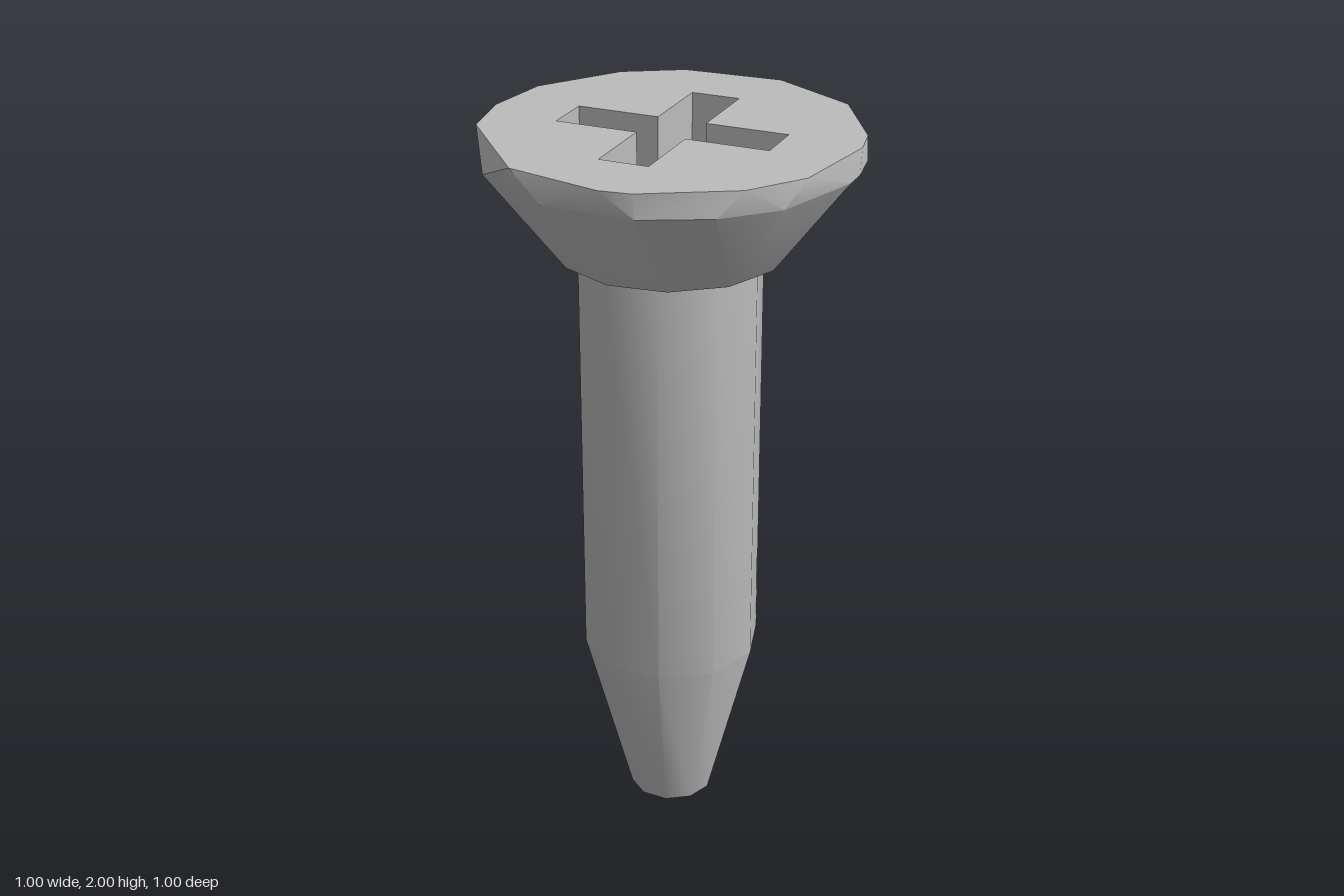
import * as THREE from 'three';
import { mergeGeometries, toCreasedNormals } from 'three/addons/utils/BufferGeometryUtils.js';

const angle = ([x, z]) => Math.atan2(z, x);
const byAngle = (pts) => [...pts].sort((a, b) => angle(a) - angle(b));

// Regular ring of [x, z] points
function circle(radius, sides, turn = 0) {
  return byAngle(Array.from({ length: sides }, (_, i) => {
    const a = turn + (i / sides) * Math.PI * 2;
    return [Math.cos(a) * radius, Math.sin(a) * radius];
  }));
}

// Joins two rings, possibly with different point counts, by walking round in angle
function loft(upper, yUpper, lower, yLower) {
  const n = upper.length, m = lower.length, pos = [];
  const at = (ring, i) => angle(ring[i % ring.length]) + (i >= ring.length ? Math.PI * 2 : 0);
  const put = (ring, i, y) => pos.push(ring[i % ring.length][0], y, ring[i % ring.length][1]);
  let i = 0, j = 0;
  while (i < n || j < m) {
    put(upper, i, yUpper);
    if (j >= m || (i < n && at(upper, i + 1) <= at(lower, j + 1))) {
      put(upper, ++i, yUpper);
      put(lower, j, yLower);
    } else {
      put(lower, j + 1, yLower);
      put(lower, j++, yLower);
    }
  }
  const g = new THREE.BufferGeometry();
  g.setAttribute('position', new THREE.Float32BufferAttribute(pos, 3));
  g.computeVertexNormals();
  return g;
}

// Flat face at height y, facing up or down, with an optional hole
function cap(ring, y, up, hole) {
  const flat = (pts) => pts.map(([x, z]) => new THREE.Vector2(x, up ? -z : z));
  const shape = new THREE.Shape(flat(ring));
  if (hole) shape.holes.push(new THREE.Path(flat(hole)));
  const g = new THREE.ShapeGeometry(shape).toNonIndexed();
  g.deleteAttribute('uv');
  return g.rotateX(up ? -Math.PI / 2 : Math.PI / 2).translate(0, y, 0);
}

export function createModel() {
  const steel = new THREE.MeshStandardMaterial({ color: 0xbcbcbc });
  steel.name = 'steel';
  const model = new THREE.Group();
  model.name = 'screw';
  const add = (name, parts, crease) => {
    const mesh = new THREE.Mesh(toCreasedNormals(mergeGeometries(parts), crease), steel);
    mesh.name = name;
    model.add(mesh);
  };

  // Shank tapering to a blunt tip
  const shank = circle(0.247, 10, 0.73), tip = circle(0.117, 10, 0.73);
  add('shank', [loft(shank, 1.68, shank, 0.5), loft(shank, 0.5, tip, 0), cap(tip, 0, false)], 0.65);

  // Worn, uneven rim of the head
  const rim = byAngle([
    [-0.14, -0.485], [0.135, -0.485], [0.365, -0.345], [0.485, -0.115], [0.498, -0.02],
    [0.438, 0.24], [0.325, 0.375], [0.085, 0.49], [0, 0.497], [-0.26, 0.425],
    [-0.477, 0.15], [-0.498, -0.02], [-0.46, -0.205], [-0.3, -0.405],
  ]);
  const shoulder = byAngle([
    [-0.05, -0.5], [0.2, -0.46], [0.28, -0.415], [0.42, -0.275], [0.488, -0.11], [0.5, 0],
    [0.495, 0.065], [0.4, 0.3], [0.27, 0.415], [0.09, 0.49], [-0.16, 0.472], [-0.38, 0.325],
    [-0.495, 0.06], [-0.49, -0.1], [-0.43, -0.26], [-0.3, -0.405],
  ]);
  const neck = circle(0.305, 12, 0.2);

  // Cross-shaped recess, turned slightly
  const L = 0.293, W = 0.067, turn = 0.052;
  const corners = [[L, -W], [L, W], [W, W], [W, L], [-W, L], [-W, W],
    [-L, W], [-L, -W], [-W, -W], [-W, -L], [W, -L], [W, -W]];
  const cross = byAngle(corners.map(([x, z]) => [
    x * Math.cos(turn) - z * Math.sin(turn),
    x * Math.sin(turn) + z * Math.cos(turn),
  ]));

  add('head', [
    cap(rim, 2, true, cross),
    loft(rim, 2, shoulder, 1.935),
    loft(shoulder, 1.935, neck, 1.675),
    cap(neck, 1.675, false),
  ], 0.55);
  add('driveRecess', [loft(cross, 1.8, cross, 2), cap(cross, 1.8, true)], 0.3);

  return model;
}
